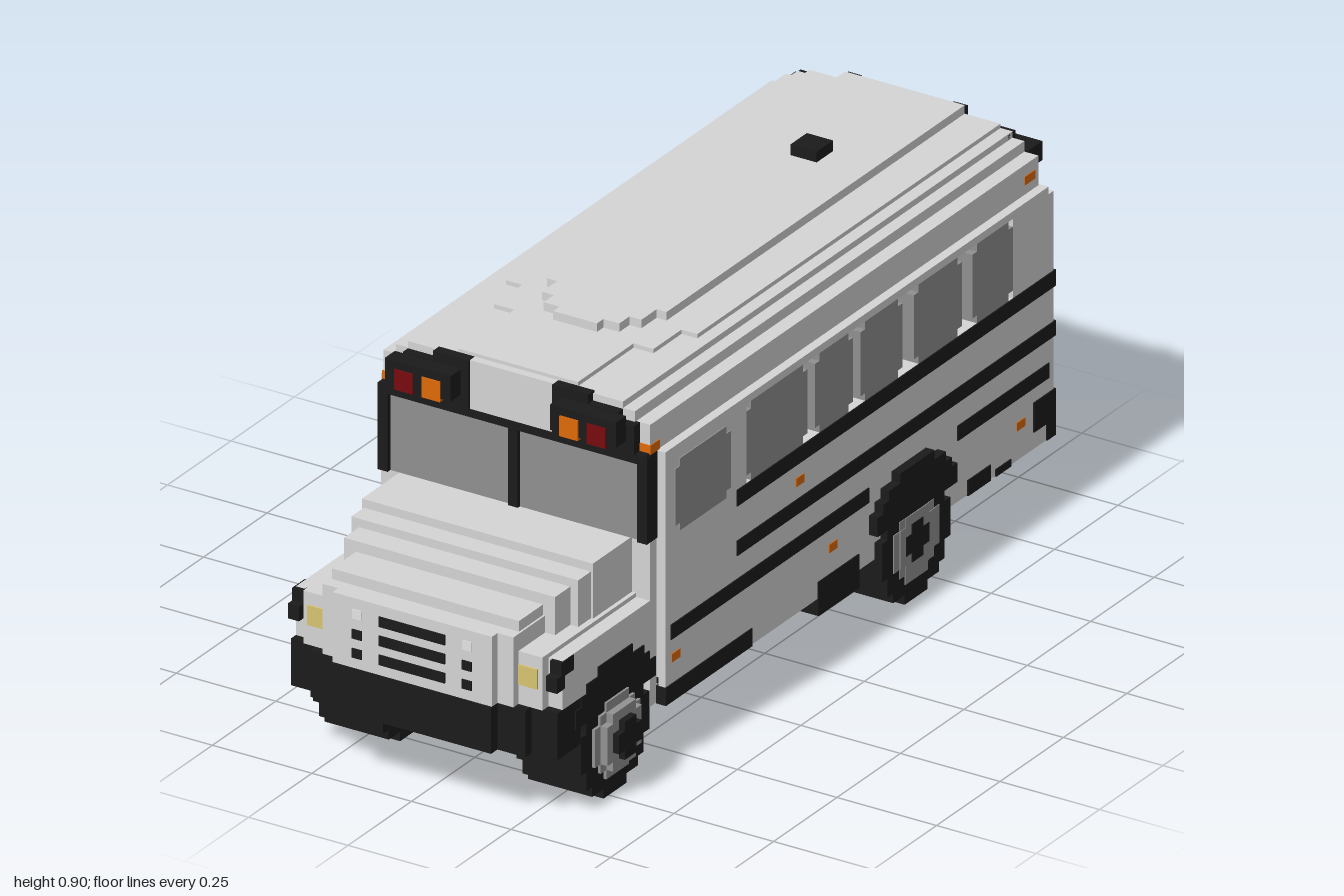
import * as THREE from 'three';
import { mergeGeometries } from 'three/addons/utils/BufferGeometryUtils.js';

const paint = (name, color) => Object.assign(new THREE.MeshStandardMaterial({ color }), { name });

export function createModel() {
  const bus = new THREE.Group();
  bus.name = 'bus';
  const body = paint('body grey', 0xd4d4d4), black = paint('black trim', 0x1b1b1b);
  const glass = paint('window grey', 0x909090), steel = paint('wheel steel', 0x929292);
  const orange = paint('orange lamp', 0xde6a08), red = paint('red lamp', 0x780a0d);
  const cream = paint('headlamp cream', 0xd8c470), white = paint('reverse lamp white', 0xe4e4e4);

  // A box given as [x0, x1, y0, y1, z0, z1]
  const block = ([x0, x1, y0, y1, z0, z1]) =>
    new THREE.BoxGeometry(x1 - x0, y1 - y0, z1 - z0)
      .translate((x0 + x1) / 2, (y0 + y1) / 2, (z0 + z1) / 2);
  const mirror = ([x0, x1, ...rest]) => [-x1, -x0, ...rest];
  const both = list => list.flatMap(b => [b, mirror(b)]);
  const wide = (w, y0, y1, z0, z1) => [-w, w, y0, y1, z0, z1];
  function add(name, material, boxes) {
    const mesh = new THREE.Mesh(mergeGeometries(boxes.map(block)), material);
    mesh.name = name;
    bus.add(mesh);
  }
  const side = 0.357; // half width of the cabin
  const trim = 0.36; // outer face of flush side trim

  // Cabin with a recessed window band, and the stepped roof
  add('cabin', body, [
    wide(side, 0.2, 0.53, -0.97, 0.56),
    ...both([[0.34, side, 0.14, 0.2, -0.97, 0.56]]),
    wide(0.34, 0.14, 0.2, -0.97, -0.94),
    wide(0.312, 0.53, 0.717, -0.81, 0.24),
    wide(side, 0.53, 0.717, -0.97, -0.81),
    wide(side, 0.53, 0.717, 0.24, 0.56),
    wide(side, 0.717, 0.735, -0.95, 0.56),
    wide(0.335, 0.14, 0.735, 0.56, 0.585),
  ]);
  add('roof', body, [
    wide(0.335, 0.735, 0.805, -0.945, 0.585),
    wide(0.3, 0.805, 0.83, -0.945, 0.59),
    wide(0.27, 0.83, 0.845, -0.945, 0.59),
    wide(0.24, 0.845, 0.855, -0.945, 0.25),
    wide(0.2, 0.845, 0.855, 0.25, 0.36),
    wide(0.15, 0.845, 0.855, 0.36, 0.58),
    wide(0.15, 0.855, 0.875, -0.945, 0.23),
    wide(0.125, 0.855, 0.875, 0.23, 0.29),
    wide(0.095, 0.855, 0.875, 0.29, 0.33),
    wide(0.055, 0.855, 0.875, 0.33, 0.355),
    wide(0.105, 0.735, 0.85, 0.585, 0.605),
  ]);
  add('roofHatch', black, [wide(0.033, 0.875, 0.9, -0.61, -0.545)]);

  // Hood, fenders and nose built up in steps
  add('hood', body, [
    [0.335, 0.275, 0.39, 0.93], [0.3, 0.275, 0.4, 0.955], [0.24, 0.275, 0.44, 0.975],
    [0.2, 0.275, 0.44, 0.997], [0.235, 0.43, 0.465, 0.945], [0.265, 0.4, 0.49, 0.85],
    [0.285, 0.4, 0.51, 0.79], [0.29, 0.38, 0.53, 0.74],
  ].map(([w, y0, y1, z]) => wide(w, y0, y1, 0.58, z)));
  add('grille', black, [
    ...[0.3, 0.345, 0.39].map(y => wide(0.083, y, y + 0.024, 0.996, 1)),
    ...both([0.3, 0.345].map(y => [0.126, 0.15, y, y + 0.022, 0.996, 1])),
  ]);
  add('grilleStuds', white, both([[0.126, 0.15, 0.392, 0.414, 0.996, 0.999]]));
  add('headlamps', cream, both([[0.242, 0.289, 0.323, 0.37, 0.953, 0.959]]));
  add('cornerMirrors', black, both([
    [0.31, 0.338, 0.325, 0.36, 0.925, 0.957], [0.31, 0.338, 0.355, 0.39, 0.89, 0.94],
  ]));
  add('frontBumper', black, [
    wide(0.335, 0.165, 0.275, 0.86, 0.95), wide(0.27, 0.165, 0.275, 0.86, 0.975),
    wide(0.2, 0.165, 0.275, 0.86, 1), wide(0.265, 0.115, 0.165, 0.7, 0.86),
  ]);

  // Windscreen and its frame
  add('windscreen', glass, [wide(0.315, 0.53, 0.717, 0.585, 0.592)]);
  add('windscreenFrame', black, [
    wide(0.012, 0.53, 0.72, 0.585, 0.6), wide(0.335, 0.714, 0.738, 0.585, 0.603),
    ...both([[0.313, 0.338, 0.53, 0.735, 0.561, 0.603]]),
  ]);

  // Warning lamp clusters at both roof ends, lamps tucked under hoods
  add('lampHousings', black, both([
    [0.105, 0.31, 0.735, 0.805, 0.585, 0.61], [0.105, 0.27, 0.805, 0.828, 0.585, 0.61],
    [0.105, 0.195, 0.828, 0.85, 0.585, 0.61],
    [0.125, 0.29, 0.765, 0.825, 0.61, 0.65],
    [0.15, 0.31, 0.765, 0.81, -1, -0.945], [0.14, 0.31, 0.735, 0.765, -0.965, -0.945],
    [0.15, 0.27, 0.81, 0.843, -0.957, -0.93], [0.115, 0.15, 0.8, 0.87, -0.957, -0.94],
  ]));
  const cluster = x => both([
    [x, x + 0.046, 0.758, 0.806, 0.61, 0.653], [x, x + 0.046, 0.738, 0.785, -1, -0.96],
  ]);
  add('warningLampsRed', red, cluster(0.219));
  add('warningLampsOrange', orange, cluster(0.15));

  // Windows: two crossed boxes give each one notched corners
  const notch = 0.018;
  const sidePane = (z0, z1, y0, y1, x0, x1) => [
    [x0, x1, y0 + notch, y1 - notch, z0, z1],
    [x0, x1, y0, y1, z0 + notch, z1 - notch],
  ];
  // Thick panes standing proud of the recessed band
  add('sideWindows', glass, both(
    [[0, 0.24], [-0.18, -0.03], [-0.375, -0.21], [-0.61, -0.42], [-0.81, -0.65]]
      .flatMap(([a, b]) => sidePane(a, b, 0.53, 0.717, 0.312, side))));
  add('driverWindow', glass, sidePane(0.305, 0.525, 0.53, 0.7, side, trim));
  add('doorWindows', glass, [[0.305, 0.395], [0.43, 0.52]]
    .flatMap(([a, b]) => sidePane(a, b, 0.37, 0.7, side, trim)).map(mirror));
  const rearPane = (x0, x1, y0, y1) => [
    [x0, x1, y0 + notch, y1 - notch, -0.973, -0.97],
    [x0 + notch, x1 - notch, y0, y1, -0.973, -0.97],
  ];
  add('rearWindows', glass, [
    ...rearPane(-0.11, 0.11, 0.54, 0.67), ...rearPane(-0.115, 0.115, 0.29, 0.41),
    ...both(rearPane(0.2, 0.305, 0.54, 0.665)),
  ]);

  // Rub rails along the sides and round the rear corners
  add('rubRails', black, [
    ...both([
      [side, trim, 0.492, 0.53, -0.972, 0.28], [side, trim, 0.375, 0.41, -0.972, 0.28],
      [side, trim, 0.285, 0.32, -0.24, 0.24], [side, trim, 0.285, 0.32, -0.95, -0.59],
      [0.15, trim, 0.492, 0.53, -0.976, -0.97], [0.15, trim, 0.375, 0.41, -0.976, -0.97],
    ]),
    [side, trim, 0.285, 0.32, 0.24, 0.54],
  ]);
  add('rearBumper', black, [
    wide(trim, 0.14, 0.205, -0.976, -0.94),
    ...both([[0.35, trim, 0.18, 0.25, -0.975, -0.89]]),
  ]);

  // Rear lamps and small side markers
  const rearLamp = x => both([[x, x + 0.045, 0.42, 0.465, -0.997, -0.97]]);
  add('rearLampsOrange', orange, rearLamp(0.293));
  add('rearLampsRed', red, rearLamp(0.228));
  add('rearLampsWhite', white, rearLamp(0.16));
  add('rearReflectors', red, both([
    [0.215, 0.25, 0.277, 0.287, -0.973, -0.97], [0.227, 0.238, 0.265, 0.299, -0.973, -0.97],
  ]));
  add('sideMarkers', orange, both([
    [0.03, 0.45], [0.52, 0.24], [-0.1, 0.24], [-0.84, 0.22],
  ].map(([z, y]) => [side, trim - 0.001, y - 0.01, y + 0.01, z - 0.016, z + 0.016])));
  add('roofMarkers', orange, both([
    [0.31, 0.337, 0.735, 0.757, 0.55, 0.587], [0.33, 0.337, 0.758, 0.778, -0.93, -0.89],
  ]));

  // Skirt patches, underfloor, axles and door step
  add('skirt', black, both([
    [0.335, trim, 0.138, 0.18, 0.22, 0.562], [0.3, trim, 0.1, 0.18, -0.2, -0.04],
    [0.335, trim, 0.138, 0.175, -0.72, -0.63], [0.335, trim, 0.138, 0.155, -0.8, -0.74],
  ]));
  add('chassis', black, [
    wide(0.34, 0.185, 0.2, -0.94, 0.56), wide(0.25, 0.17, 0.275, 0.56, 0.9),
    ...both([[0.1, 0.17, 0.142, 0.2, -0.93, 0.86]]),
    ...[-0.7, -0.15, 0.1, 0.35].map(z => wide(0.33, 0.155, 0.2, z - 0.03, z + 0.03)),
    wide(0.035, 0.145, 0.19, -0.45, 0.5),
    wide(0.2, 0.117, 0.165, -0.425, -0.375), wide(0.2, 0.117, 0.165, 0.7, 0.75),
    wide(0.033, 0.075, 0.19, -0.46, -0.34), wide(0.175, 0.072, 0.094, 0.68, 0.77),
    ...both([[0.105, 0.175, 0.09, 0.16, 0.68, 0.77]]), wide(0.033, 0.09, 0.16, 0.68, 0.77),
  ]);
  add('underfloorTank', steel, [[0.17, 0.33, 0.142, 0.19, -0.05, 0.22]]);
  add('doorStep', steel, [
    [-0.355, -0.22, 0.085, 0.1, 0.25, 0.55], [-0.235, -0.22, 0.1, 0.185, 0.25, 0.55],
    ...[0.25, 0.535].map(z => [-0.355, -0.22, 0.1, 0.14, z, z + 0.015]),
  ]);
  add('doorStepTread', black, [[-0.355, -0.22, 0.072, 0.085, 0.25, 0.53]]);

  // Wheels: discs stacked from rows of blocks
  const cell = 0.0225;
  function disc(r, x0, x1, y, z) {
    const n = Math.round(r / cell), rows = [];
    for (let i = -n; i < n; i++) {
      const h = Math.max(1, Math.round(Math.sqrt(n * n - (i + 0.5) ** 2))) * cell;
      rows.push([x0, x1, y + i * cell, y + (i + 1) * cell, z - h, z + h]);
    }
    return rows;
  }
  // tyre, rim, hub and cap give the outer x of each layer
  const wheels = [
    { name: 'front', z: 0.725, inner: 0.175, tyre: 0.336, rim: 0.343, hub: 0.36, cap: 0.375, arch: [0.25, 0.338] },
    { name: 'rear', z: -0.4, inner: 0.175, tyre: 0.375, rim: 0.377, hub: 0.3785, cap: 0.38, arch: [0.3, 0.379] },
  ];
  for (const w of wheels) {
    add(w.name + 'Tyres', black, both(disc(0.135, w.inner, w.tyre, 0.135, w.z)));
    add(w.name + 'Arches', black, both(disc(0.18, ...w.arch, 0.14, w.z)
      .filter(b => b[3] > 0.22)));
    add(w.name + 'Rims', steel, both([
      ...disc(0.095, w.tyre - 0.02, w.rim, 0.137, w.z),
      ...disc(0.067, w.tyre - 0.02, w.hub, 0.137, w.z),
    ]));
    add(w.name + 'HubCaps', black, both(disc(0.04, w.rim - 0.01, w.cap, 0.137, w.z)));
  }
  return bus;
}
